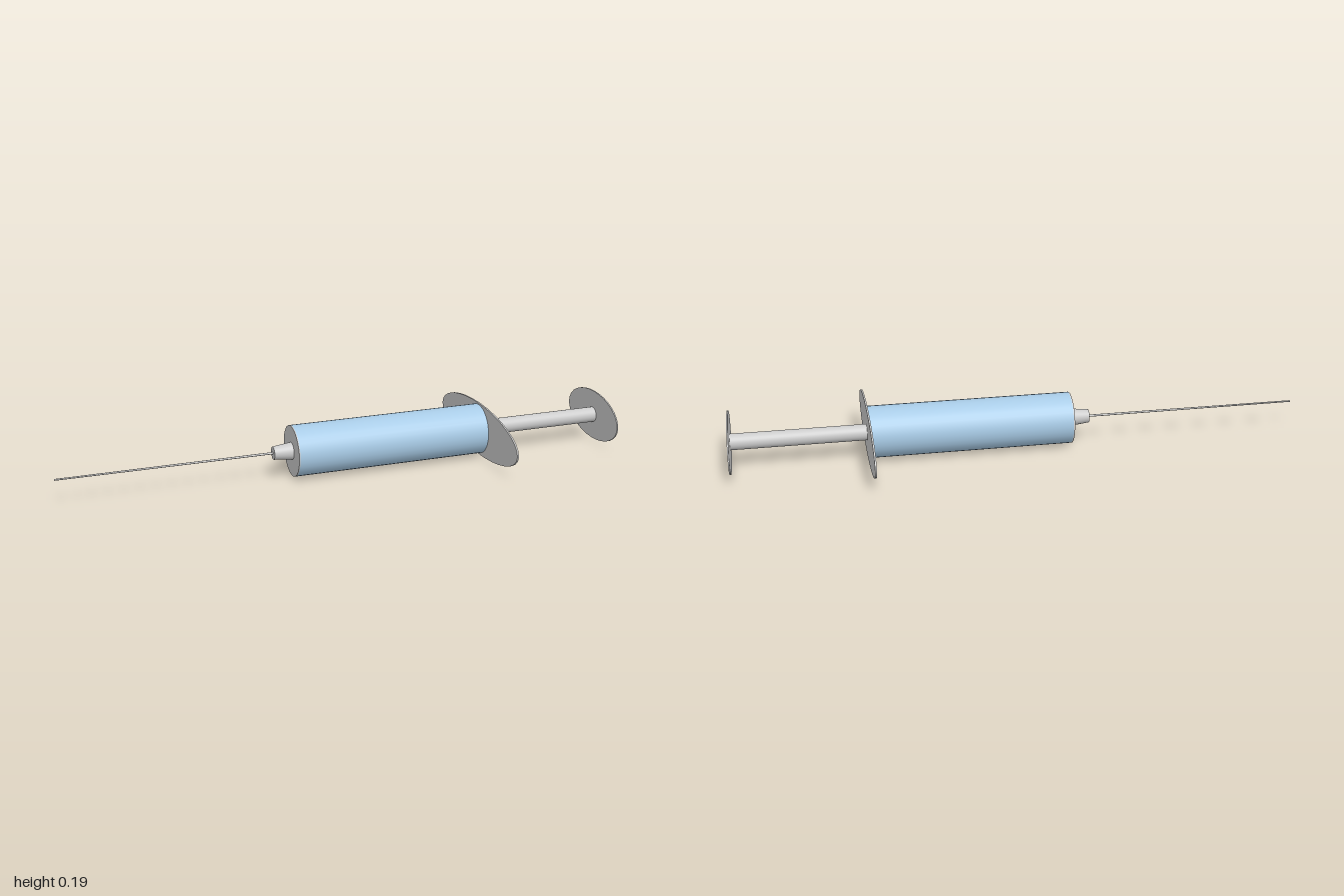
import * as THREE from 'three';

const AXIS_Y = 0.095;

export function createModel() {
  const model = new THREE.Group();
  const grey = new THREE.MeshStandardMaterial({ color: 0xcccccc });
  const blue = new THREE.MeshStandardMaterial({ color: 0xa8cbe6, side: THREE.DoubleSide });

  // Round part along x from x0 to x1, with a radius at each end and an optional stretch in z
  function rod(name, x0, x1, r0, r1, { material = grey, open = false, stretch = 1, sides = 32 } = {}) {
    const geometry = new THREE.CylinderGeometry(r1, r0, x1 - x0, sides, 1, open);
    geometry.rotateZ(-Math.PI / 2);
    geometry.scale(1, 1, stretch);
    const mesh = new THREE.Mesh(geometry, material);
    mesh.name = name;
    mesh.position.set((x0 + x1) / 2, AXIS_Y, 0);
    model.add(mesh);
  }

  // Needle and its tapered hub
  rod('needle', -1, -0.25, 0.003, 0.004, { sides: 12 });
  rod('needleHub', -0.25, -0.18, 0.023, 0.031);

  // Coloured barrel wall closed by thin end caps
  rod('barrelFrontCap', -0.183, -0.179, 0.09, 0.09);
  rod('barrel', -0.179, 0.526, 0.09, 0.09, { material: blue, open: true });

  // Oval finger flange, plunger and oval thumb rest
  rod('fingerFlange', 0.526, 0.532, 0.095, 0.095, { stretch: 0.32 / 0.095 });
  rod('plungerRod', 0.532, 0.995, 0.028, 0.028);
  rod('thumbRest', 0.995, 1, 0.09, 0.09, { stretch: 2 });

  return model;
}
